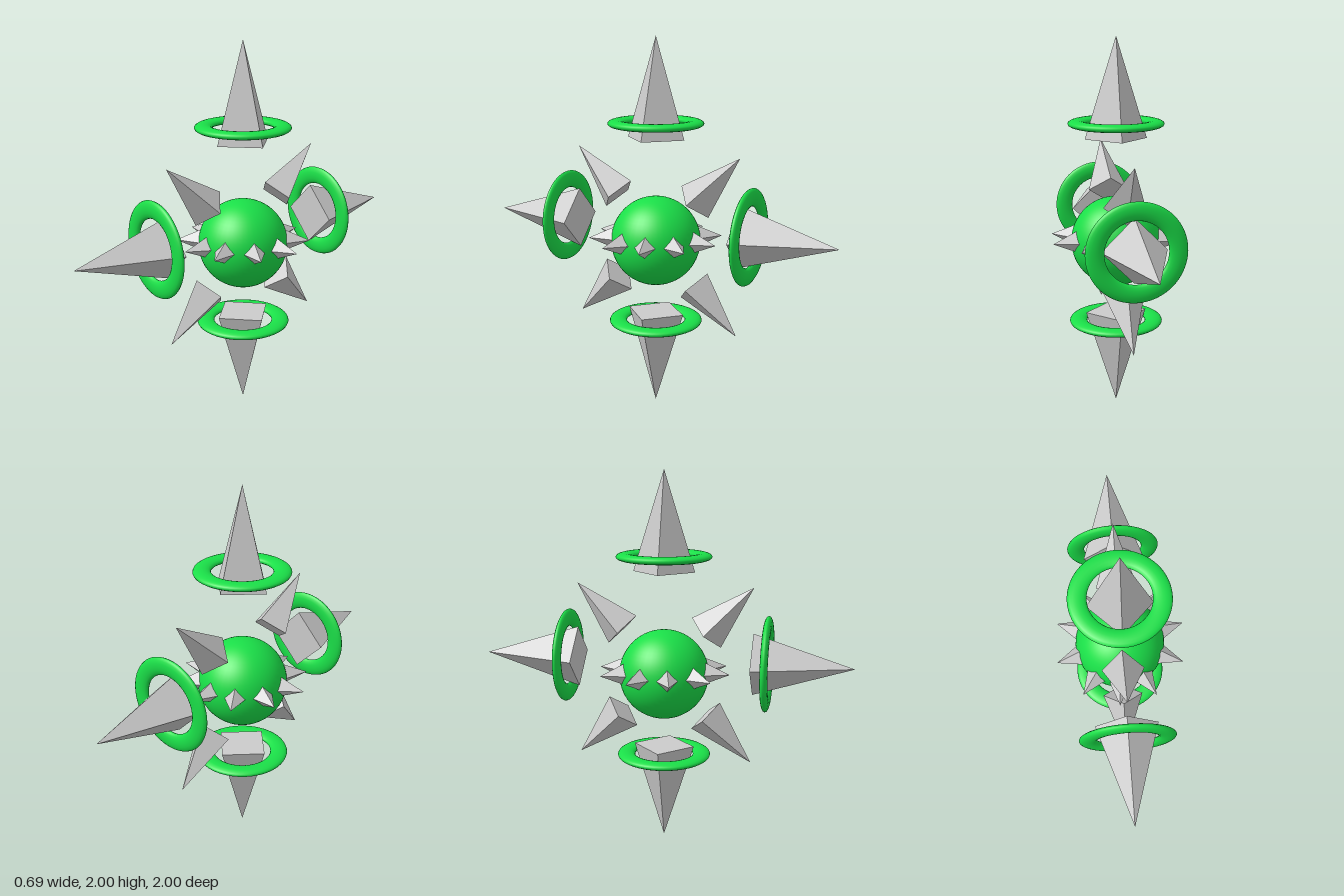
import * as THREE from 'three';

const GREY = new THREE.MeshStandardMaterial({ color: 0xcccccc, flatShading: true });
const GREEN = new THREE.MeshStandardMaterial({ color: 0x1adf48 });
const rad = THREE.MathUtils.degToRad;

export function createModel() {
  const model = new THREE.Group();
  model.name = 'spikedOrb';

  // Place a part along a direction: tilt from straight up towards +z, then yaw about y.
  function place(mesh, name, centreY, distance, tilt, yaw = 0) {
    const t = rad(tilt), w = rad(yaw);
    mesh.name = name;
    mesh.rotation.set(t, w, 0, 'YXZ');
    mesh.position.set(
      Math.sin(t) * Math.sin(w) * distance,
      centreY + Math.cos(t) * distance,
      Math.sin(t) * Math.cos(w) * distance
    );
    model.add(mesh);
  }

  // Four-sided pyramid running from base to tip, measured from its centre point.
  function spike(name, radius, base, tip, centreY, tilt, yaw) {
    const geometry = new THREE.ConeGeometry(radius, tip - base, 4);
    place(new THREE.Mesh(geometry, GREY), name, centreY, (base + tip) / 2, tilt, yaw);
  }

  // Central ball
  const ball = new THREE.Mesh(new THREE.SphereGeometry(0.24, 48, 32), GREEN);
  ball.name = 'ball';
  ball.position.y = 0.925;
  model.add(ball);

  // Flattened ring lying across the spike axis
  const ringGeometry = new THREE.TorusGeometry(0.205, 0.047, 16, 64);
  ringGeometry.rotateX(Math.PI / 2);
  ringGeometry.scale(1, 0.43, 1);

  // Large spikes up, front, down and back, each with its ring
  const large = [
    ['top', 0, 0.555, 1],
    ['front', 90, 0.55, 1.006],
    ['bottom', 180, 0.524, 1],
    ['back', 270, 0.533, 1.006],
  ];
  for (const [side, tilt, ringDistance, ringY] of large) {
    spike(side + 'Spike', 0.165, 0.475, 1, 1, tilt);
    place(new THREE.Mesh(ringGeometry, GREEN), side + 'Ring', ringY, ringDistance, tilt);
  }

  // Medium spikes on the diagonals
  for (const tilt of [45, 135, 225, 315]) {
    spike('diagonalSpike', 0.109, 0.322, 0.67, 0.932, tilt);
  }

  // Belt of small spikes set into the ball, slightly unevenly spaced
  const belt = [-13.3, 22.8, 61.1, 94, 127.1, 164.3, 200.9, 237.4, 273.5, 309.7];
  for (const angle of belt) {
    spike('beltSpike', 0.07, 0.197, 0.358, 0.943, 90, 90 - angle);
  }

  return model;
}
